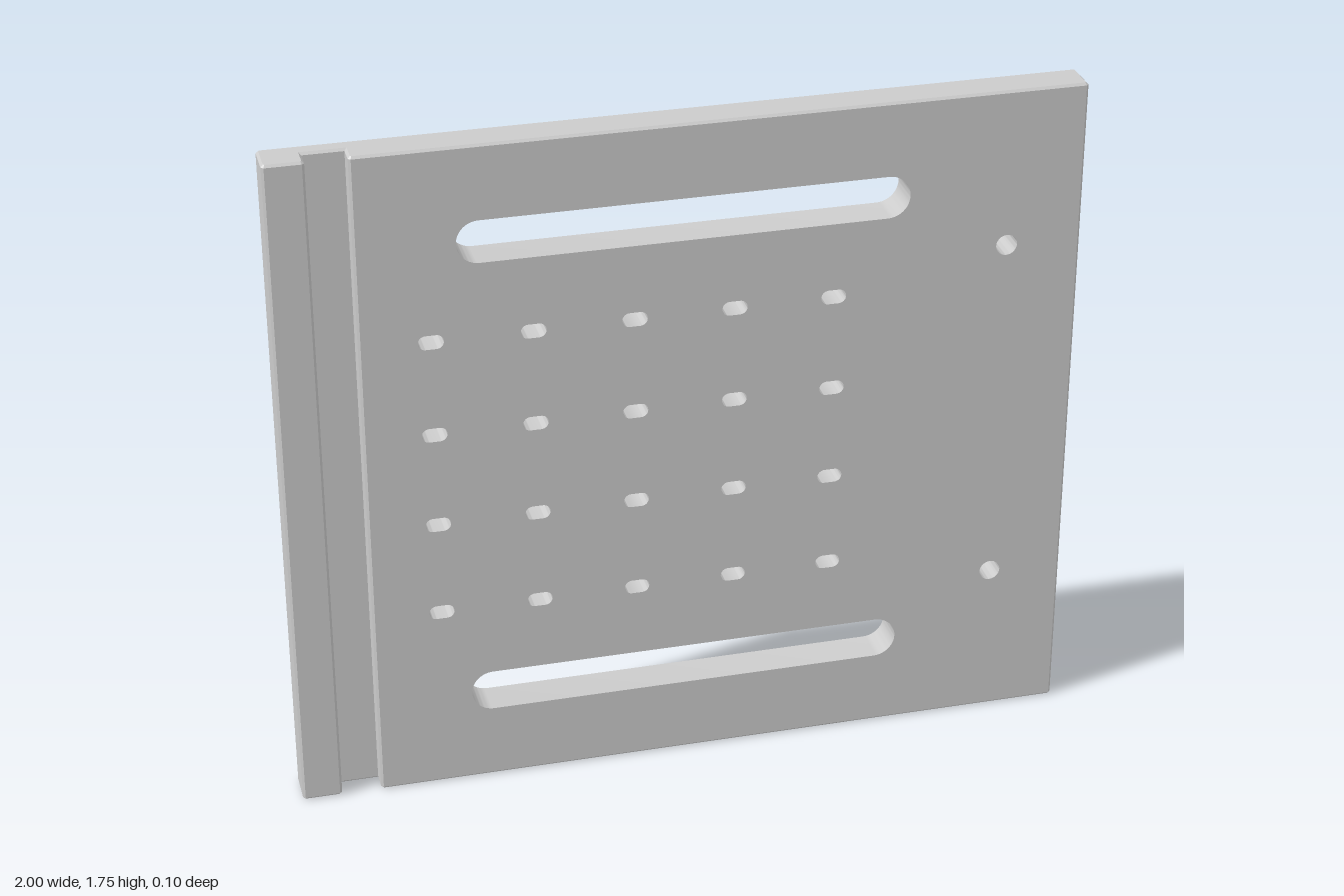
import * as THREE from 'three';
import { toCreasedNormals } from 'three/addons/utils/BufferGeometryUtils.js';

const H = 1.75;          // plate height
const T = 0.048;         // half thickness
const C = 0.006;         // edge chamfer
const FLOOR = -0.004;    // z of the groove floor
const G0 = -0.9, G1 = -0.8; // groove sides
const near = (a, b) => Math.abs(a - b) < 1e-4;

// Remove every triangle whose three corners all pass the test
function dropFaces(geometry, test) {
  const p = geometry.getAttribute('position');
  const kept = [];
  for (let i = 0; i < p.count; i += 3) {
    const tri = [0, 1, 2].map((k) => new THREE.Vector3().fromBufferAttribute(p, i + k));
    if (!test(tri)) tri.forEach((v) => kept.push(v.x, v.y, v.z));
  }
  const out = new THREE.BufferGeometry();
  out.setAttribute('position', new THREE.Float32BufferAttribute(kept, 3));
  out.computeVertexNormals();
  return out;
}

// Round-ended slot; equal length and height gives a round hole
function slot(cx, cy, length, height) {
  const r = height / 2, d = (length - height) / 2;
  const path = new THREE.Path();
  path.absarc(cx + d, cy, r, -Math.PI / 2, Math.PI / 2, false);
  path.absarc(cx - d, cy, r, Math.PI / 2, Math.PI * 1.5, false);
  path.closePath();
  return path;
}

// Grooved, chamfered body swept upwards, left open where the perforated panel sits
function bodyGeometry() {
  const section = [
    [-1, -T + C], [-1 + C, -T], [G1 + C, -T], [1 - C, -T], [1, -T + C],
    [1, T - C], [1 - C, T], [G1 + C, T], [G1, T - C], [G1, FLOOR],
    [G0, FLOOR], [G0, T - C], [G0 - C, T], [-1 + C, T], [-1, T - C],
  ];
  const shape = new THREE.Shape(section.map(([x, z]) => new THREE.Vector2(x, -z)));
  const geo = new THREE.ExtrudeGeometry(shape, {
    depth: H - 2 * C, bevelEnabled: true, bevelSegments: 1,
    bevelSize: C, bevelThickness: C, bevelOffset: -C,
  });
  geo.rotateX(-Math.PI / 2).translate(0, C, 0);
  return dropFaces(geo, (tri) => tri.every((v) => near(Math.abs(v.z), T) && v.x > G1 + C - 1e-4));
}

// Flat front and back faces with the hole walls, without the outer rim
function panelGeometry() {
  const x0 = G1 + C, x1 = 1 - C, y0 = C, y1 = H - C;
  const shape = new THREE.Shape([
    new THREE.Vector2(x0, y0), new THREE.Vector2(x1, y0),
    new THREE.Vector2(x1, y1), new THREE.Vector2(x0, y1),
  ]);
  // Long slots at top and bottom
  for (const y of [0.253, 1.503]) shape.holes.push(slot(0, y, 1.115, 0.11));
  // Grid of short slots
  for (let row = 0; row < 4; row++) {
    for (let col = 0; col < 5; col++) {
      shape.holes.push(slot(-0.626 + col * 0.249, 0.503 + row * 0.25, 0.063, 0.037));
    }
  }
  // Round mounting holes
  for (const y of [0.412, 1.342]) shape.holes.push(slot(0.81, y, 0.054, 0.054));

  const geo = new THREE.ExtrudeGeometry(shape, { depth: 2 * T, bevelEnabled: false, curveSegments: 14 });
  geo.translate(0, 0, -T);
  const onRim = (tri) =>
    [x0, x1].some((x) => tri.every((v) => near(v.x, x))) ||
    [y0, y1].some((y) => tri.every((v) => near(v.y, y)));
  return toCreasedNormals(dropFaces(geo, onRim), Math.PI / 6);
}

export function createModel() {
  const group = new THREE.Group();
  group.name = 'slottedPlate';
  const material = new THREE.MeshStandardMaterial({ color: 0xcccccc });
  const parts = { groovedBody: bodyGeometry(), perforatedPanel: panelGeometry() };
  for (const [name, geometry] of Object.entries(parts)) {
    const mesh = new THREE.Mesh(geometry, material);
    mesh.name = name;
    group.add(mesh);
  }
  return group;
}
